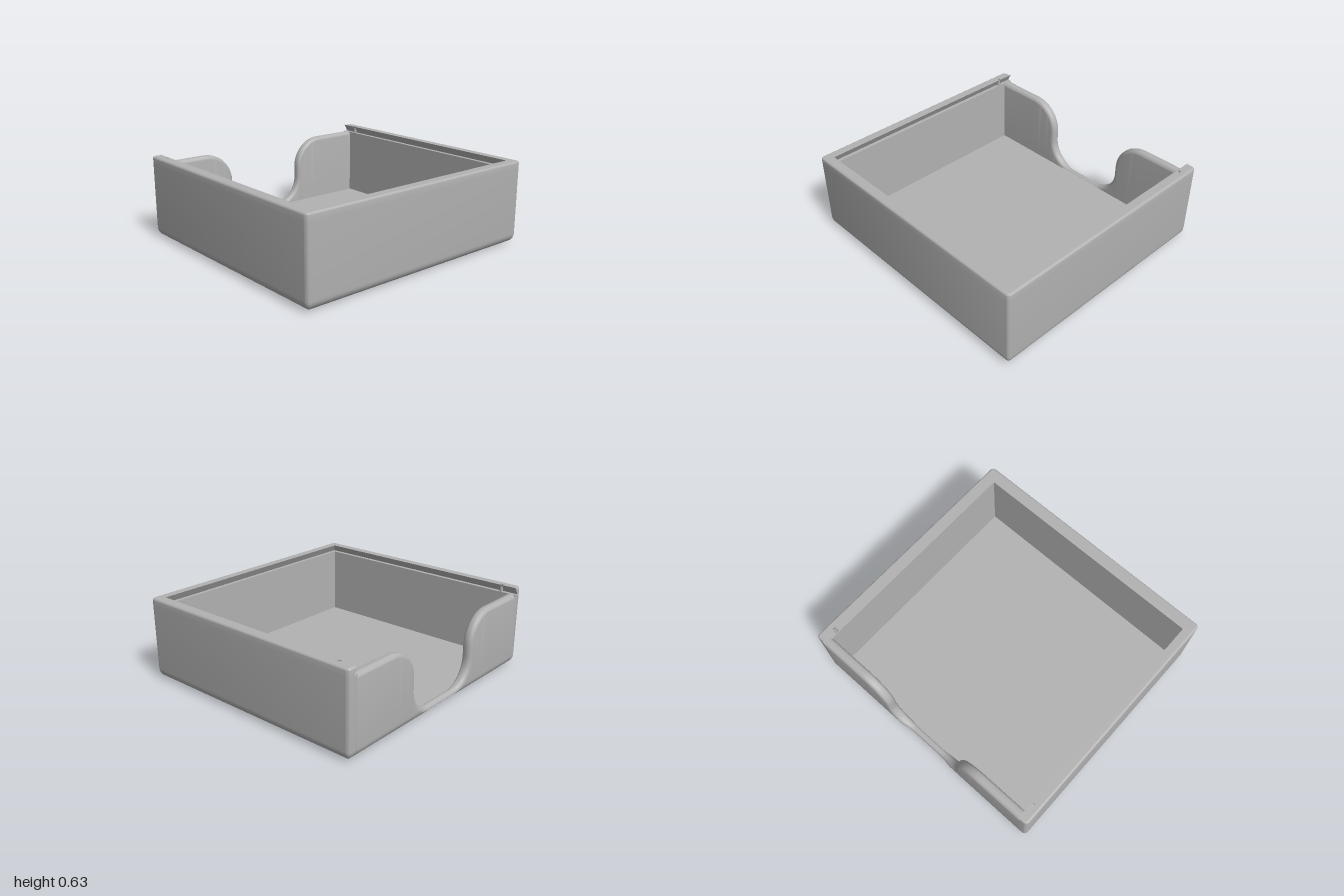
import * as THREE from 'three';
import { toCreasedNormals } from 'three/addons/utils/BufferGeometryUtils.js';

const HX = 1, HZ = 0.943, TOP = 0.632, LEDGE = 0.577, FLOOR = 0.046;
const WALL = 0.075, CORNER = 0.03, BASE_R = 0.075, RIM_R = 0.015, GROOVE = 0.045;

// Surface through rows of points; every row has the same length
function loft(rows, crease = 0.6) {
  const pos = rows.flat(2), n = rows[0].length, index = [];
  for (let i = 0; i < rows.length - 1; i++) {
    for (let j = 0; j < n - 1; j++) {
      const a = i * n + j, b = a + n;
      index.push(a, b, a + 1, b, b + 1, a + 1);
    }
  }
  const g = new THREE.BufferGeometry();
  g.setAttribute('position', new THREE.Float32BufferAttribute(pos, 3));
  g.setIndex(index);
  return toCreasedNormals(g, crease);
}

// Quarter arc of the rounded base edge as [inset, height]
function baseArc(steps = 8) {
  const pts = [];
  for (let i = 0; i <= steps; i++) {
    const a = (i / steps) * Math.PI / 2;
    pts.push([BASE_R * (1 - Math.sin(a)), BASE_R * (1 - Math.cos(a))]);
  }
  return pts;
}

// Plan outline at an inset, open across the middle of the back
function outline(d, y) {
  const r = Math.max(CORNER - d, 0), x = HX - d - r, z = HZ - d - r;
  const t = Math.max(0, (y - LEDGE) / (TOP - LEDGE));
  const end = y < LEDGE ? HX - WALL : HX - GROOVE - t * (WALL - GROOVE);
  const pts = [[Math.min(end, HX - d), y, -(HZ - d)]];
  [[1, -1, -90], [1, 1, 0], [-1, 1, 90], [-1, -1, 180]].forEach(([sx, sz, start]) => {
    for (let i = 0; i <= 6; i++) {
      const a = THREE.MathUtils.degToRad(start + i * 15);
      pts.push([sx * x + r * Math.cos(a), y, sz * z + r * Math.sin(a)]);
    }
  });
  pts.push([-Math.min(end, HX - d), y, -(HZ - d)]);
  return pts;
}

// Outer skin: rounded base, upright sides, small rounded rim
function outerShell() {
  const profile = [...baseArc(), [0, LEDGE - 0.001], [0, LEDGE]];
  for (let i = 0; i <= 4; i++) {
    const a = (i / 4) * Math.PI / 2;
    profile.push([RIM_R * (1 - Math.cos(a)), TOP - RIM_R * (1 - Math.sin(a))]);
  }
  return loft(profile.map(([d, y]) => outline(d, y)));
}

// Inner skin on three sides: undercut lid groove, ledge, wall
function innerWalls() {
  const profile = [[WALL, TOP], [GROOVE, LEDGE], [WALL, LEDGE], [WALL, FLOOR]];
  return loft(profile.map(([d, y]) => {
    const x = HX - d, z = HZ - d;
    return [[x, y, -HZ], [x, y, z], [-x, y, z], [-x, y, -HZ]];
  }));
}

// Flat U-shaped rim with a small hole near each back end
function rimTop() {
  const s = new THREE.Shape(), inner = HX - WALL;
  outline(RIM_R, TOP).forEach(([x, , z], i) => (i ? s.lineTo(x, -z) : s.moveTo(x, -z)));
  s.lineTo(-inner, -(HZ - WALL));
  s.lineTo(inner, -(HZ - WALL));
  for (const side of [-1, 1]) {
    s.holes.push(new THREE.Path().absarc(side * 0.941, 0.815, 0.013, 0, Math.PI * 2, true));
  }
  return new THREE.ShapeGeometry(s, 16).rotateX(-Math.PI / 2).translate(0, TOP, 0);
}

// Upper edge of the back wall as [x, y, normal x, normal y]
function notchEdge() {
  const half = [[-0.95, LEDGE, 0, 1]], steps = 16;
  const R = 0.24, r = 0.2, low = 0.056;
  for (let i = 0; i <= steps; i++) {
    const a = (1 - i / steps) * Math.PI / 2, c = Math.cos(a), s = Math.sin(a);
    half.push([-0.57 + R * c, LEDGE - R + R * s, c, s]);
  }
  for (let i = 0; i <= steps; i++) {
    const a = (1 + i / steps / 2) * Math.PI, c = Math.cos(a), s = Math.sin(a);
    half.push([-0.13 + r * c, low + r + r * s, -c, -s]);
  }
  const mirrored = half.map(([x, y, nx, ny]) => [-x, y, -nx, ny]).reverse();
  return [...half, ...mirrored];
}

// Back wall with a finger notch and a rounded edge following it
function backWall() {
  const f = 0.03, steps = 6, zIn = -HZ + WALL;
  const zOut = (y) => {
    const k = Math.max(0, BASE_R - y);
    return -HZ + BASE_R - Math.sqrt(Math.max(0, BASE_R * BASE_R - k * k));
  };
  return loft(notchEdge().map(([x, y, nx, ny]) => {
    const cx = x - nx * f, cy = y - ny * f, zo = zOut(cy), row = [];
    baseArc().forEach(([, h]) => {
      const yy = Math.min(h, cy);
      row.push([cx, yy, zOut(yy)]);
    });
    for (let i = 0; i <= steps; i++) {
      const a = (i / steps) * Math.PI / 2, o = f * Math.sin(a);
      row.push([cx + nx * o, cy + ny * o, zo + f * (1 - Math.cos(a))]);
    }
    for (let i = steps; i >= 0; i--) {
      const a = (i / steps) * Math.PI / 2, o = f * Math.sin(a);
      row.push([cx + nx * o, cy + ny * o, zIn - f * (1 - Math.cos(a))]);
    }
    row.push([cx, 0.02, zIn]);
    return row;
  }));
}

export function createModel() {
  const group = new THREE.Group();
  const grey = new THREE.MeshStandardMaterial({ color: 0xb2b2b2, side: THREE.DoubleSide });
  grey.name = 'plain grey';
  const add = (name, geometry) => {
    const mesh = new THREE.Mesh(geometry, grey);
    mesh.name = name;
    group.add(mesh);
    return mesh;
  };

  add('outerShell', outerShell());
  add('innerWalls', innerWalls());
  add('rimTop', rimTop());
  add('backWall', backWall());

  // Floor runs under the rounded lip of the notch
  const zBack = -0.895, zFront = HZ - WALL;
  add('floor', new THREE.PlaneGeometry(2 * (HX - WALL), zFront - zBack).rotateX(-Math.PI / 2))
    .position.set(0, FLOOR, (zFront + zBack) / 2);
  add('underside', new THREE.PlaneGeometry(2 * (HX - BASE_R), 2 * (HZ - BASE_R)).rotateX(Math.PI / 2));

  // Walls of the lid catch holes
  for (const side of [-1, 1]) {
    add(side > 0 ? 'leftCatchHole' : 'rightCatchHole',
      new THREE.CylinderGeometry(0.013, 0.013, TOP - LEDGE, 16, 1, true))
      .position.set(side * 0.941, (TOP + LEDGE) / 2, -0.815);
  }
  return group;
}
